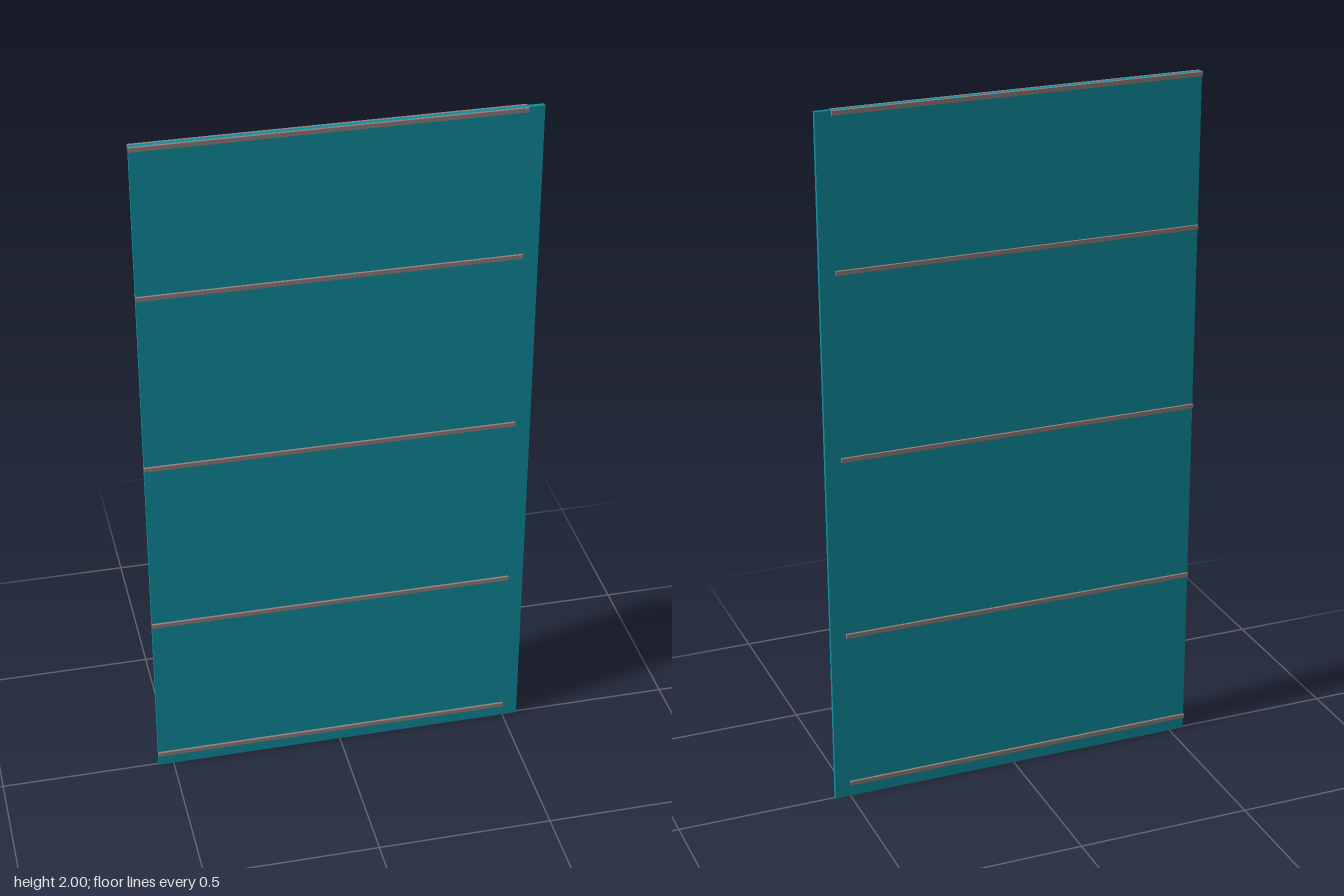
import * as THREE from 'three';

export function createModel() {
  const model = new THREE.Group();
  const panelMaterial = new THREE.MeshStandardMaterial({ color: 0x0d8f9f });
  const railMaterial = new THREE.MeshStandardMaterial({ color: 0x94807c });

  const addBox = (name, material, [w, h, d], [x, y, z], parent = model) => {
    const mesh = new THREE.Mesh(new THREE.BoxGeometry(w, h, d), material);
    mesh.name = name;
    mesh.position.set(x, y, z);
    parent.add(mesh);
  };

  // Thin upright panel
  const width = 1.088, thickness = 0.013;
  addBox('panel', panelMaterial, [width, 2, thickness], [0, 1, 0]);

  // Paired rails on both faces, flush with the right edge and short of the left one
  const railLength = 1.044, railHeight = 0.012, railDepth = 0.007;
  const railX = (railLength - width) / 2;
  const railZ = (thickness + railDepth) / 2;
  for (const y of [0.042, 0.508, 1.036, 1.565, 1.994]) {
    const pair = new THREE.Group();
    pair.name = 'railPair';
    for (const side of [1, -1]) {
      addBox(side > 0 ? 'frontRail' : 'backRail', railMaterial,
        [railLength, railHeight, railDepth], [railX, y, side * railZ], pair);
    }
    model.add(pair);
  }
  return model;
}
